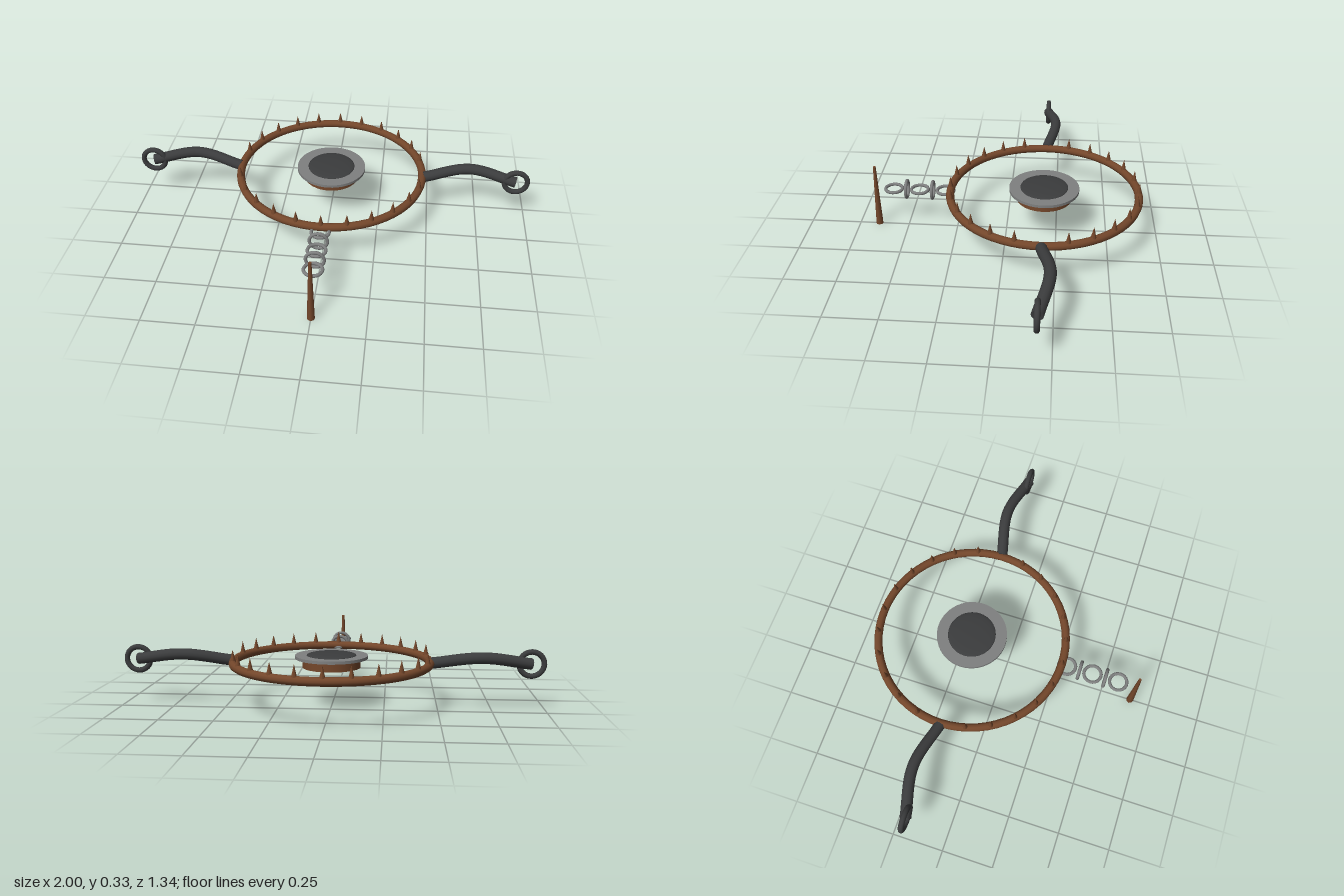
import * as THREE from 'three';

const rust = new THREE.MeshStandardMaterial({ name: 'rustyIron', color: 0x74472b });
const dark = new THREE.MeshStandardMaterial({ name: 'darkIron', color: 0x3b3c3d });
const steel = new THREE.MeshStandardMaterial({ name: 'greySteel', color: 0x7f8080 });

const CZ = -0.185; // centre of the jaws in z
const JAW_R = 0.462;

export function createModel() {
  const model = new THREE.Group();
  model.name = 'jawTrap';
  const add = (name, geometry, material, x, y, z) => {
    const mesh = new THREE.Mesh(geometry, material);
    mesh.name = name;
    mesh.position.set(x, y, z);
    model.add(mesh);
    return mesh;
  };

  // Round jaw frame
  add('jawRing', new THREE.TorusGeometry(JAW_R, 0.02, 10, 64), rust, 0, 0.217, CZ).rotation.x = Math.PI / 2;

  // Teeth every 15 degrees, none at the two hinges
  const tooth = new THREE.ConeGeometry(0.018, 0.075, 8);
  for (let i = 0; i < 24; i++) {
    if (i % 12 === 0) continue;
    const a = (i / 24) * Math.PI * 2;
    add('tooth', tooth, rust, Math.cos(a) * JAW_R, 0.25, CZ + Math.sin(a) * JAW_R).rotation.y = -a;
  }

  // Trigger pan: rusty base, steel plate and low dark dome
  add('panBase', new THREE.CylinderGeometry(0.138, 0.138, 0.045, 40), rust, 0, 0.2125, CZ);
  add('panPlate', new THREE.CylinderGeometry(0.172, 0.172, 0.014, 48), steel, 0, 0.24, CZ);
  const dome = new THREE.SphereGeometry(0.117, 40, 10, 0, Math.PI * 2, 0, Math.PI / 2);
  dome.scale(1, 0.011 / 0.117, 1);
  add('panDome', dome, dark, 0, 0.247, CZ);

  // Bowed spring arms, each with an end ring
  for (const s of [-1, 1]) {
    const path = new THREE.CatmullRomCurve3([
      new THREE.Vector3(s * 0.47, 0.215, CZ),
      new THREE.Vector3(s * 0.7, 0.25, CZ - 0.045),
      new THREE.Vector3(s * 0.93, 0.217, CZ),
    ]);
    add('springArm', new THREE.TubeGeometry(path, 24, 0.027, 12), dark, 0, 0, 0);
    // Flat caps on both tube ends
    for (const t of [0, 1]) {
      const cap = add('springArmCap', new THREE.CircleGeometry(0.027, 12), dark, 0, 0, 0);
      const p = path.getPoint(t);
      cap.position.copy(p);
      cap.lookAt(p.clone().addScaledVector(path.getTangent(t), t ? 1 : -1));
    }
    add('springRing', new THREE.TorusGeometry(0.057, 0.013, 10, 32), dark, s * 0.93, 0.217, CZ);
  }

  // Chain of links lying flat and standing up in turn
  const link = new THREE.TorusGeometry(0.042, 0.008, 8, 24);
  for (let i = 0; i < 5; i++) {
    const mesh = add('chainLink', link, steel, 0, 0.208, 0.304 + i * 0.0645);
    if (i % 2 === 0) mesh.rotation.x = Math.PI / 2;
  }

  // Ground stake
  add('stake', new THREE.CylinderGeometry(0.007, 0.018, 0.328, 8), rust, 0, 0.164, 0.652);

  return model;
}
